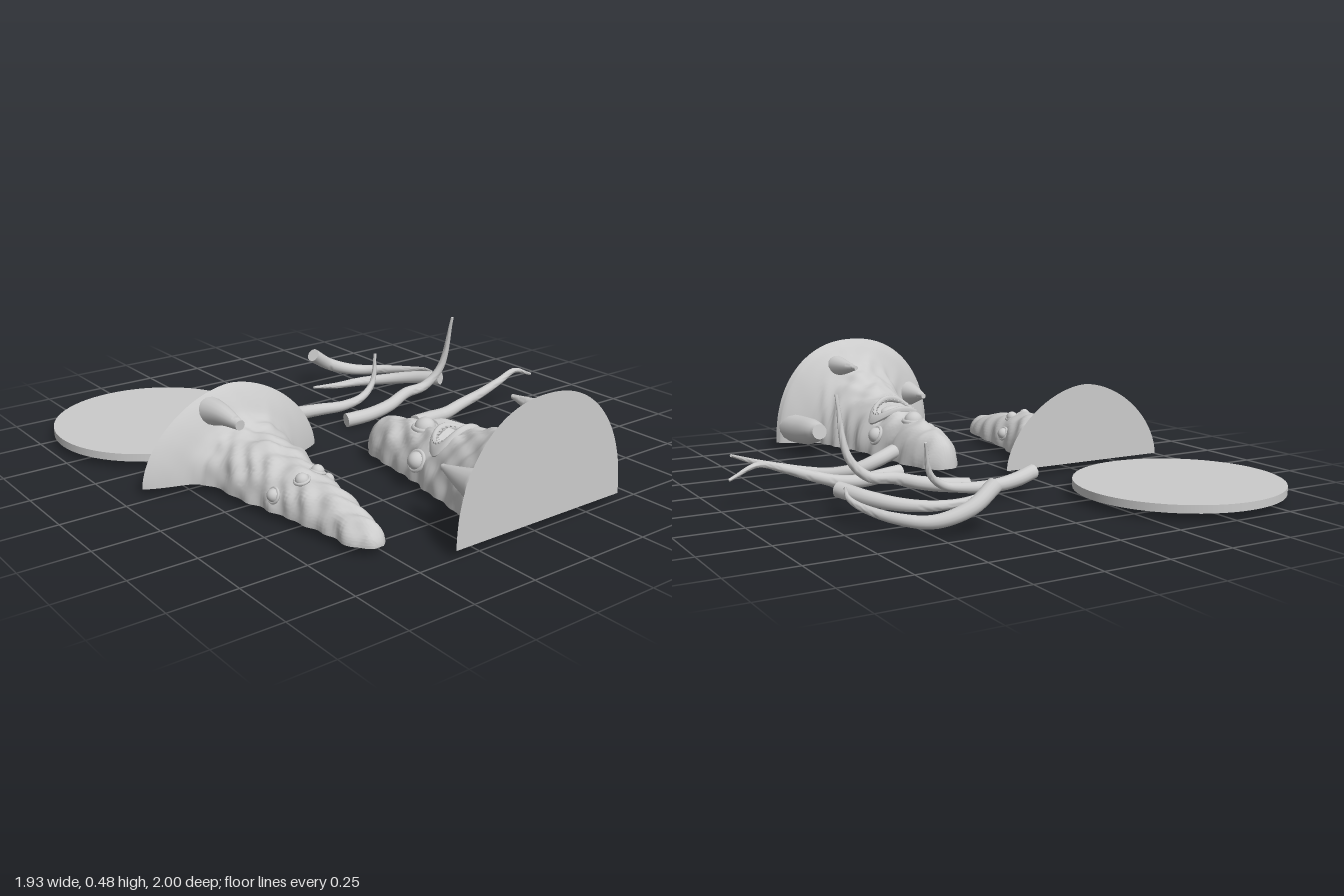
import * as THREE from 'three';
import { toCreasedNormals } from 'three/addons/utils/BufferGeometryUtils.js';

const mat = new THREE.MeshStandardMaterial({ color: 0xcccccc, side: THREE.DoubleSide });
const FLOOR = 0.03;

function add(parent, name, geometry, x = 0, y = 0, z = 0) {
  const mesh = new THREE.Mesh(geometry, mat);
  mesh.name = name;
  mesh.position.set(x, y, z);
  parent.add(mesh);
  return mesh;
}

// Interpolate rows [z, xMin, xMax, top, roundness] at a given z
function sectionAt(rows, z) {
  let i = 0;
  while (i < rows.length - 2 && z > rows[i + 1][0]) i++;
  const t = (z - rows[i][0]) / (rows[i + 1][0] - rows[i][0]);
  return rows[i].map((v, k) => THREE.MathUtils.lerp(v, rows[i + 1][k], t));
}

// Knobbly bark relief
const bark = (x, y, z) =>
  0.45 * Math.sin(31 * z + 9 * x) * Math.sin(27 * x + 15 * y + 1) +
  0.35 * Math.sin(58 * z + 3 * Math.sin(30 * x)) +
  0.3 * Math.sin(63 * x + 40 * y) * Math.cos(41 * z);

// Half body lying on its flat cut: arched sections lofted along z, with flat ends
function halfBody(rows, relief, shape) {
  const rings = 110, segs = 60, pos = [], grid = [];
  const z0 = rows[0][0], z1 = rows[rows.length - 1][0];
  for (let i = 0; i <= rings; i++) {
    const z = z0 + (z1 - z0) * i / rings;
    const [, xl, xr, top, n] = sectionAt(rows, z);
    const ring = [];
    for (let j = 0; j <= segs; j++) {
      const a = Math.PI * j / segs, c = Math.cos(a), s = Math.max(0, Math.sin(a));
      const u = Math.sign(c) * Math.pow(Math.abs(c), 2 / n), v = Math.pow(s, 2 / n);
      const p = new THREE.Vector3((xl + xr) / 2 + u * (xr - xl) / 2, FLOOR + v * (top - FLOOR), z);
      const d = relief(z) * bark(p.x, p.y, z);
      p.x += d * c;
      p.y += d * s;
      if (shape) shape(p);
      p.y = Math.max(FLOOR, p.y);
      ring.push(p);
    }
    grid.push(ring);
  }
  const tri = (...ps) => ps.forEach(p => pos.push(p.x, p.y, p.z));
  for (let i = 0; i < rings; i++) {
    for (let j = 0; j <= segs; j++) {
      const k = (j + 1) % (segs + 1);
      const a = grid[i][j], b = grid[i][k], c = grid[i + 1][j], d = grid[i + 1][k];
      tri(a, b, c);
      tri(b, d, c);
    }
  }
  for (const [ring, front] of [[grid[0], false], [grid[rings], true]]) {
    const mid = new THREE.Vector3((ring[0].x + ring[segs].x) / 2, FLOOR, ring[0].z);
    for (let j = 0; j < segs; j++) front ? tri(mid, ring[j], ring[j + 1]) : tri(mid, ring[j + 1], ring[j]);
  }
  const g = new THREE.BufferGeometry();
  g.setAttribute('position', new THREE.Float32BufferAttribute(pos, 3));
  return toCreasedNormals(g, 0.8);
}

// Tapered tube with closed ends
function taperedTube(points, r0, r1, power = 1) {
  const segs = 40, sides = 14;
  const curve = new THREE.CatmullRomCurve3(points.map(p => new THREE.Vector3(...p)));
  const g = new THREE.TubeGeometry(curve, segs, 1, sides);
  const p = g.attributes.position, v = new THREE.Vector3();
  for (let i = 0; i <= segs; i++) {
    const c = curve.getPointAt(i / segs);
    const to = curve.getPointAt((i === 1 ? 0 : i === segs - 1 ? segs : i) / segs);
    const r = i === 0 || i === segs ? 0 : r0 + (r1 - r0) * Math.pow(i / segs, power);
    for (let j = 0; j <= sides; j++) {
      const k = i * (sides + 1) + j;
      v.fromBufferAttribute(p, k).sub(c).multiplyScalar(r).add(to);
      p.setXYZ(k, v.x, v.y, v.z);
    }
  }
  return toCreasedNormals(g, 0.9);
}

// Eyeball in a raised socket; tilt leans it sideways
function eye(parent, x, y, z, r, tilt) {
  const group = new THREE.Group();
  group.name = 'eye';
  group.position.set(x, y, z);
  group.rotation.z = tilt;
  add(group, 'eyeball', new THREE.SphereGeometry(r * 0.95, 20, 14));
  add(group, 'eyeSocket', new THREE.TorusGeometry(r, r * 0.22, 8, 24)).rotation.x = Math.PI / 2;
  parent.add(group);
}

export function createModel() {
  const model = new THREE.Group();
  model.name = 'creatureKit';

  // Round stand
  add(model, 'baseDisc', new THREE.CylinderGeometry(0.397, 0.397, 0.03, 64), -0.57, 0.045, -0.605);

  // Front half with the face
  const face = new THREE.Group();
  face.name = 'faceHalf';
  model.add(face);
  const faceRows = [
    [0.11, -0.01, 0.05, 0.08, 2], [0.125, -0.035, 0.07, 0.12, 2], [0.16, -0.055, 0.1, 0.155, 2],
    [0.22, -0.07, 0.125, 0.178, 2], [0.3, -0.08, 0.135, 0.188, 2], [0.4, -0.085, 0.135, 0.192, 2],
    [0.5, -0.105, 0.15, 0.215, 2], [0.6, -0.122, 0.172, 0.24, 2], [0.7, -0.14, 0.197, 0.265, 2],
    [0.8, -0.165, 0.222, 0.3, 2], [0.88, -0.18, 0.25, 0.345, 2], [0.92, -0.21, 0.29, 0.38, 2],
    [0.95, -0.27, 0.355, 0.415, 2.1], [0.975, -0.325, 0.4, 0.45, 2.2], [1, -0.35, 0.41, 0.48, 2.2]];
  const mouth = { x: 0.025, z: 0.57, a: 0.105, b: 0.06 };
  add(face, 'faceBody', halfBody(faceRows, z => 0.012 * Math.min(1, (1 - z) / 0.1), p => {
    const d = Math.hypot((p.x - mouth.x) / mouth.a, (p.z - mouth.z) / mouth.b);
    if (d < 1 && p.y > 0.1) p.y -= 0.06 * (1 - d * d);
  }));

  // Mouth: lips, teeth and tongue, tilted with the slope of the body
  const jaws = new THREE.Group();
  jaws.name = 'mouth';
  jaws.position.set(mouth.x, 0.225, mouth.z);
  jaws.rotation.x = -0.25;
  face.add(jaws);
  const lips = add(jaws, 'lips', new THREE.TorusGeometry(0.1, 0.017, 10, 48).rotateX(Math.PI / 2));
  lips.scale.set(1.02, 1, 0.64);
  // Lips follow the curve of the body across its width
  const lp = lips.geometry.attributes.position;
  for (let i = 0; i < lp.count; i++) lp.setY(i, lp.getY(i) - 5.5 * lp.getX(i) ** 2 + 0.008);
  lips.geometry.computeVertexNormals();
  for (let i = 0; i < 28; i++) {
    const a = i / 28 * Math.PI * 2, x = 0.087 * Math.cos(a), z = 0.052 * Math.sin(a);
    const tooth = add(jaws, 'tooth', new THREE.ConeGeometry(0.006, 0.028, 6).rotateX(-Math.PI / 2),
      x, 0.01 - 5 * x * x, z);
    tooth.rotation.y = Math.atan2(x, z);
  }
  add(jaws, 'tongue', new THREE.SphereGeometry(1, 20, 12), 0, -0.035, 0.022).scale.set(0.055, 0.025, 0.03);

  eye(face, 0.025, 0.185, 0.4, 0.042, 0);
  eye(face, 0.142, 0.115, 0.52, 0.036, -1.15);
  eye(face, -0.098, 0.115, 0.5, 0.036, 1.15);

  // Horns growing from the flared foot
  add(face, 'horn', taperedTube([[0.13, 0.365, 0.95], [0.13, 0.37, 0.85], [0.13, 0.378, 0.74]], 0.048, 0.008));
  add(face, 'horn', taperedTube([[-0.235, 0.21, 0.97], [-0.235, 0.215, 0.88], [-0.23, 0.22, 0.79]], 0.06, 0.01));
  add(face, 'stubHorn', taperedTube([[0.34, 0.095, 0.99], [0.33, 0.1, 0.85], [0.33, 0.12, 0.69]], 0.062, 0.03, 4));

  // Rear half with the flared flange
  const rear = new THREE.Group();
  rear.name = 'rearHalf';
  model.add(rear);
  const rearRows = [
    [-0.04, -0.915, -0.165, 0.355, 1.75], [-0.025, -0.895, -0.19, 0.335, 1.75], [-0.005, -0.85, -0.23, 0.3, 1.8],
    [0.02, -0.77, -0.3, 0.25, 1.9], [0.05, -0.72, -0.33, 0.22, 2], [0.1, -0.7, -0.345, 0.205, 2],
    [0.2, -0.69, -0.36, 0.198, 2], [0.3, -0.675, -0.385, 0.185, 2], [0.4, -0.655, -0.41, 0.17, 2],
    [0.5, -0.635, -0.425, 0.157, 2], [0.6, -0.62, -0.44, 0.14, 2], [0.7, -0.605, -0.455, 0.12, 2],
    [0.78, -0.595, -0.475, 0.1, 2], [0.815, -0.575, -0.495, 0.08, 2], [0.832, -0.55, -0.51, 0.055, 2]];
  add(rear, 'rearBody', halfBody(rearRows, z => 0.011 * THREE.MathUtils.clamp((z + 0.03) / 0.1, 0, 1)));
  add(rear, 'horn', taperedTube([[-0.635, 0.27, -0.03], [-0.635, 0.28, 0.06], [-0.635, 0.275, 0.18]], 0.055, 0.018));
  for (const [x, y, z, tilt] of [[-0.645, 0.09, 0.4, 1.2], [-0.575, 0.152, 0.47, 0.3],
    [-0.49, 0.152, 0.44, -0.35], [-0.42, 0.09, 0.4, -1.2]]) eye(rear, x, y, z, 0.026, tilt);

  // Loose tentacles, thick end first
  const tentacles = [
    [[0.28, 0.155, -0.68], [0.38, 0.09, -0.695], [0.5, 0.05, -0.66], [0.6, 0.055, -0.57], [0.665, 0.075, -0.44],
      [0.675, 0.09, -0.37], [0.65, 0.105, -0.29]],
    [[0.65, 0.09, -0.23], [0.59, 0.075, -0.35], [0.5, 0.06, -0.44], [0.4, 0.055, -0.49], [0.28, 0.06, -0.495],
      [0.13, 0.09, -0.46]],
    [[-0.14, 0.075, -0.265], [-0.05, 0.06, -0.295], [0.05, 0.05, -0.305], [0.16, 0.05, -0.285], [0.26, 0.07, -0.285],
      [0.32, 0.12, -0.295], [0.345, 0.24, -0.31]],
    [[0.09, 0.03, -0.175], [0.2, 0.04, -0.155], [0.3, 0.06, -0.15], [0.4, 0.09, -0.165], [0.5, 0.105, -0.16],
      [0.57, 0.18, -0.14], [0.595, 0.405, -0.1]],
    [[0.26, 0.055, 0.065], [0.35, 0.05, 0.05], [0.45, 0.045, 0.035], [0.55, 0.06, 0.02], [0.65, 0.09, 0.03],
      [0.75, 0.125, 0.035], [0.85, 0.152, 0.025], [0.965, 0.11, 0.01]],
    [[0.2, 0.1, 0.24], [0.28, 0.08, 0.21], [0.37, 0.045, 0.23], [0.45, 0.026, 0.29], [0.53, 0.03, 0.36],
      [0.62, 0.05, 0.395], [0.72, 0.08, 0.395], [0.845, 0.13, 0.34]]];
  for (const path of tentacles) add(model, 'tentacle', taperedTube(path, 0.029, 0.005, 1.6));

  return model;
}
